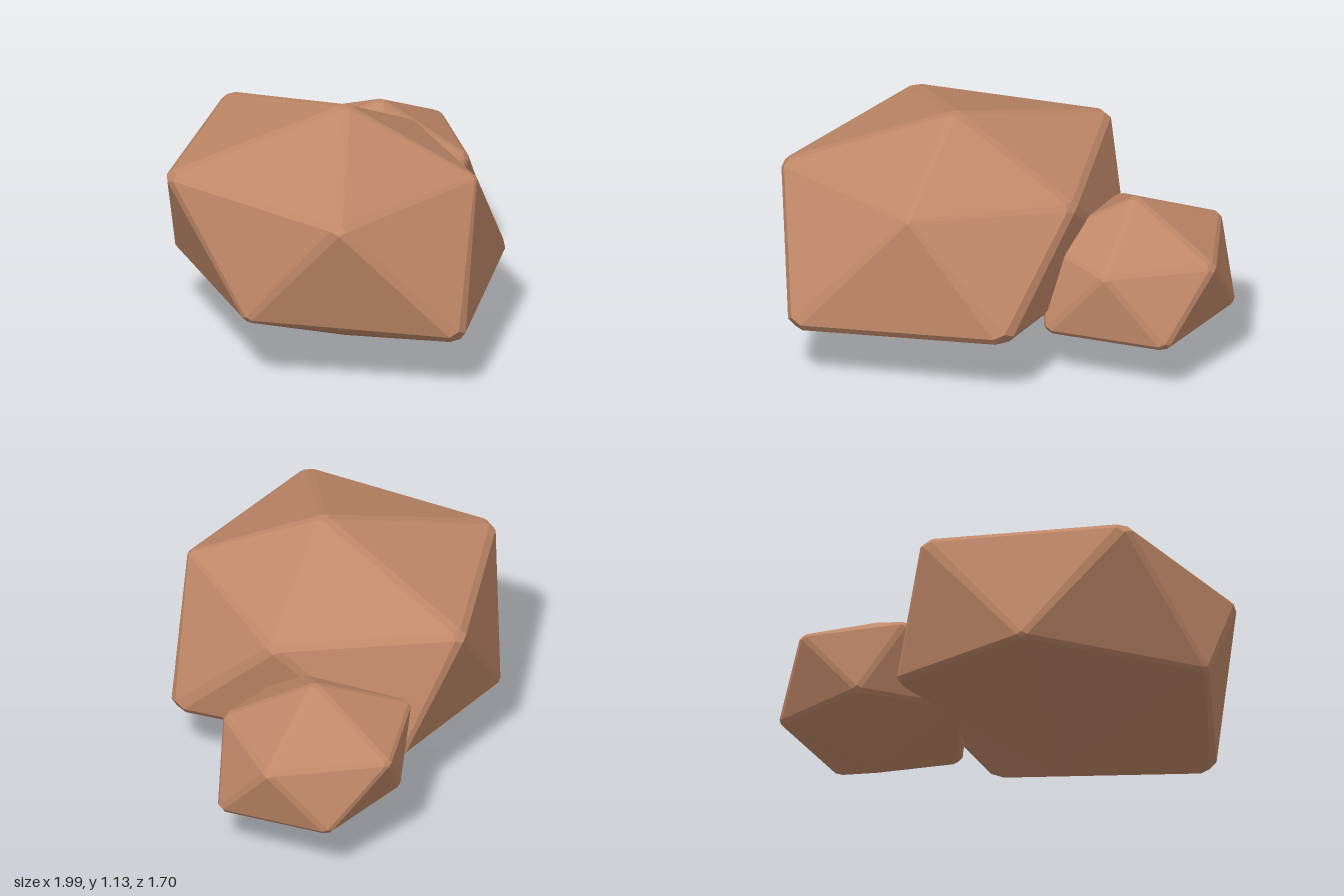
import * as THREE from 'three';
import { ConvexGeometry } from 'three/addons/geometries/ConvexGeometry.js';

// Faceted boulder: each face of the corner hull is shrunk a little,
// and the hull of the shrunk faces leaves chipped edges and corners.
// Each corner is [x, y, z, chip size].
function boulderGeometry(corners, centre, grow) {
  const points = corners.map(([x, y, z]) =>
    new THREE.Vector3(x, y, z).sub(centre).multiplyScalar(grow).add(centre));
  const faces = new ConvexGeometry(points).getAttribute('position');
  const chipped = [];
  for (let i = 0; i < faces.count; i += 3) {
    const tri = [0, 1, 2].map((k) => new THREE.Vector3().fromBufferAttribute(faces, i + k));
    const middle = new THREE.Vector3().add(tri[0]).add(tri[1]).add(tri[2]).divideScalar(3);
    for (const v of tri) {
      const nearest = points.reduce((best, p, j) =>
        p.distanceTo(v) < points[best].distanceTo(v) ? j : best, 0);
      chipped.push(v.clone().lerp(middle, corners[nearest][3]));
    }
  }
  return new ConvexGeometry(chipped);
}

export function createModel() {
  const group = new THREE.Group();
  group.name = 'rocks';
  const stone = new THREE.MeshStandardMaterial({ color: 0xc08868 });
  stone.name = 'brown stone';

  const addRock = (name, corners, centre, grow) => {
    const mesh = new THREE.Mesh(boulderGeometry(corners, centre, grow), stone);
    mesh.name = name;
    group.add(mesh);
  };

  // Large boulder: peak, upper ring, lower ring, foot
  addRock('largeRock', [
    [-0.23, 1.13, 0, 0.08],
    [-0.88, 0.86, 0.43, 0.09],
    [-0.04, 0.86, 0.58, 0.04],
    [0.39, 0.81, -0.08, 0.1],
    [0.0, 0.89, -0.84, 0.1],
    [-0.88, 0.88, -0.53, 0.1],
    [-0.51, 0.29, 0.85, 0.12],
    [0.4, 0.32, 0.43, 0.12],
    [0.24, 0.33, -0.66, 0.06],
    [-0.48, 0.33, -0.77, 0.06],
    [-0.99, 0.34, 0, 0.06],
    [-0.23, 0, -0.01, 0.08],
  ], new THREE.Vector3(-0.24, 0.565, 0), 1.025);

  // Small boulder leaning against it
  addRock('smallRock', [
    [0.53, 0.79, -0.37, 0.1],
    [0.98, 0.57, -0.37, 0.12],
    [0.66, 0.57, 0.02, 0.1],
    [0.2, 0.58, -0.1, 0.1],
    [0.2, 0.59, -0.68, 0.1],
    [0.66, 0.58, -0.82, 0.1],
    [0.92, 0.25, -0.09, 0.12],
    [0.38, 0.25, 0.09, 0.12],
    [0.1, 0.27, -0.37, 0.1],
    [0.42, 0.29, -0.74, 0.1],
    [0.89, 0.28, -0.63, 0.1],
    [0.55, 0.065, -0.36, 0.1],
  ], new THREE.Vector3(0.55, 0.43, -0.37), 1.035);

  return group;
}
